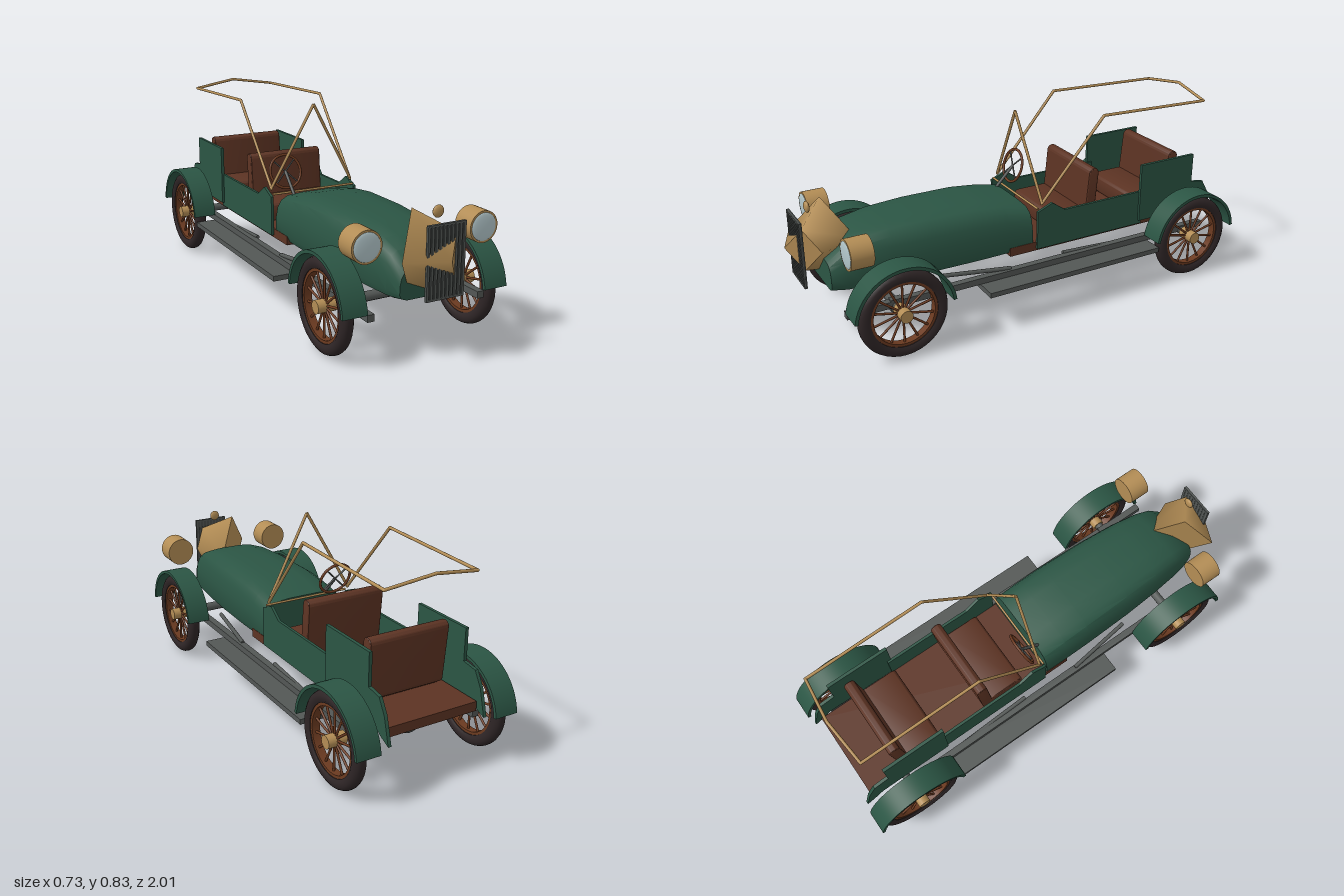
import * as THREE from 'three';
import { toCreasedNormals } from 'three/addons/utils/BufferGeometryUtils.js';

const mat = (name, color, side = THREE.FrontSide) => {
  const m = new THREE.MeshStandardMaterial({ color, side });
  m.name = name;
  return m;
};

export function createModel() {
  const car = new THREE.Group();
  car.name = 'vintageTourer';
  const green = mat('green paint', 0x2b5544);
  const leather = mat('brown leather', 0x5c3323);
  const wood = mat('spoke wood', 0x6b3a20);
  const brass = mat('brass', 0xb38d55);
  const steel = mat('grey steel', 0x535755);
  const dark = mat('dark grille', 0x3c403e);
  const rubber = mat('tyre rubber', 0x2e2526);
  const glass = mat('lamp glass', 0xb3c7cb);

  const add = (name, geo, material, x = 0, y = 0, z = 0, parent = car) => {
    const m = new THREE.Mesh(geo, material);
    m.name = name;
    m.position.set(x, y, z);
    parent.add(m);
    return m;
  };
  const box = (name, w, h, d, material, x, y, z, parent) =>
    add(name, new THREE.BoxGeometry(w, h, d), material, x, y, z, parent);
  const V = (p) => new THREE.Vector3(...p);
  // straight rod between two points
  const rod = (name, a, b, r, material, parent = car) => {
    const A = V(a), B = V(b), d = B.clone().sub(A);
    const m = add(name, new THREE.CylinderGeometry(r, r, d.length(), 10), material, 0, 0, 0, parent);
    m.position.copy(A).add(B).multiplyScalar(0.5);
    m.quaternion.setFromUnitVectors(new THREE.Vector3(0, 1, 0), d.normalize());
    return m;
  };
  // plate drawn in (z, y) and extruded across x
  const sidePlate = (shape, depth, bevel = 0) => {
    const g = new THREE.ExtrudeGeometry(shape, {
      depth, curveSegments: 28, bevelEnabled: bevel > 0,
      bevelSize: bevel, bevelThickness: bevel, bevelSegments: 3,
    });
    g.translate(0, 0, -depth / 2);
    g.rotateY(-Math.PI / 2);
    return toCreasedNormals(g, 0.5);
  };
  const polygon = (pts) => new THREE.Shape(pts.map((p) => new THREE.Vector2(...p)));

  // Bonnet: lofted sections [z, half width, bottom, top]
  const half = [[0.76, 0], [0.93, 0.07], [1, 0.2], [0.99, 0.5], [0.95, 0.72], [0.86, 0.88], [0.7, 0.97], [0.35, 1]];
  const ring = [...half, ...half.slice().reverse().map(([x, y]) => [-x, y])];
  const sections = [
    [-0.012, 0.2, 0.245, 0.44], [0.1, 0.201, 0.243, 0.462], [0.22, 0.2, 0.24, 0.476], [0.45, 0.192, 0.238, 0.48],
    [0.62, 0.18, 0.238, 0.474], [0.74, 0.166, 0.238, 0.455], [0.81, 0.153, 0.238, 0.425], [0.87, 0.132, 0.245, 0.365],
  ];
  const pos = [], idx = [], n = ring.length;
  sections.forEach(([z, w, lo, hi]) => ring.forEach(([x, y]) => pos.push(x * w, lo + y * (hi - lo), z)));
  for (let i = 0; i < sections.length - 1; i++)
    for (let j = 0; j < n; j++) {
      const a = i * n + j, b = i * n + ((j + 1) % n);
      idx.push(a, b, b + n, a, b + n, a + n);
    }
  const last = (sections.length - 1) * n;
  for (let j = 1; j < n - 1; j++) {
    idx.push(0, j + 1, j);
    idx.push(last, last + j, last + j + 1);
  }
  const loft = new THREE.BufferGeometry();
  loft.setAttribute('position', new THREE.Float32BufferAttribute(pos, 3));
  loft.setIndex(idx);
  add('bonnet', toCreasedNormals(loft, 0.55), green);

  // Floor
  box('floor', 0.404, 0.04, 1.05, leather, 0, 0.266, -0.425);

  // Body sides and rear quarter panels
  const tubSide = polygon([[-0.028, 0.256], [-0.028, 0.43], [-0.1, 0.46], [-0.165, 0.415], [-0.58, 0.415], [-0.58, 0.256]]);
  const quarter = polygon([[-0.56, 0.275], [-0.56, 0.546], [-0.852, 0.546], [-0.852, 0.41], [-0.92, 0.4],
    [-0.955, 0.34], [-0.985, 0.23], [-0.94, 0.25], [-0.9, 0.275]]);
  // Mudguard arch
  const arch = new THREE.Shape();
  arch.absarc(0, 0, 0.217, 0.12, Math.PI - 0.12, false);
  arch.absarc(0, 0, 0.203, Math.PI - 0.12, 0.12, true);
  // Tyre and rim profiles, turned about the axle
  const lathe = (pts) => {
    const g = new THREE.LatheGeometry(pts.map((p) => new THREE.Vector2(...p)), 40);
    g.rotateZ(-Math.PI / 2);
    return toCreasedNormals(g, 0.7);
  };
  const tyreGeo = lathe([[0.143, -0.02], [0.155, -0.027], [0.172, -0.027], [0.185, -0.018], [0.19, -0.007],
    [0.19, 0.007], [0.185, 0.018], [0.172, 0.027], [0.155, 0.027], [0.143, 0.02], [0.143, -0.02]]);
  const rimGeo = lathe([[0.131, -0.017], [0.145, -0.017], [0.145, 0.017], [0.131, 0.017], [0.131, -0.017]]);
  const hubGeo = new THREE.CylinderGeometry(0.027, 0.027, 0.08, 20).rotateZ(Math.PI / 2);

  const AXLE_F = 0.65, AXLE_R = -0.783;
  for (const s of [1, -1]) {
    add('bodySide', sidePlate(tubSide, 0.012), green, s * 0.207);
    add('rearQuarterPanel', sidePlate(quarter, 0.014), green, s * 0.217);

    for (const z of [AXLE_F, AXLE_R]) {
      add('mudguard', sidePlate(arch, 0.104), green, s * 0.313, 0.19, z);
      const wheel = new THREE.Group();
      wheel.name = 'wheel';
      wheel.position.set(s * 0.32, 0.19, z);
      car.add(wheel);
      add('tyre', tyreGeo, rubber, 0, 0, 0, wheel);
      add('rim', rimGeo, wood, 0, 0, 0, wheel);
      add('hub', hubGeo, brass, 0, 0, 0, wheel);
      for (let i = 0; i < 14; i++) {
        const a = (i / 14) * Math.PI * 2, c = Math.cos(a), d = Math.sin(a);
        rod('spoke', [0, c * 0.02, d * 0.02], [0, c * 0.135, d * 0.135], 0.005, wood, wheel);
      }
    }

    // Chassis rails, running boards and spring arms
    box('chassisRail', 0.03, 0.028, 1.76, steel, s * 0.245, 0.2, -0.02);
    box('runningBoard', 0.118, 0.022, 0.86, steel, s * 0.291, 0.176, -0.155);
    box('axleKnuckle', 0.03, 0.052, 0.05, steel, s * 0.245, 0.195, AXLE_F);
    rod('frontSpringArm', [s * 0.205, 0.24, 0.42], [s * 0.24, 0.215, 0.12], 0.009, steel);
    rod('rearSpringArm', [s * 0.245, 0.19, AXLE_R], [s * 0.225, 0.215, -0.15], 0.009, steel);

    // Headlamps
    const lamp = new THREE.Group();
    lamp.name = 'headlamp';
    lamp.position.set(s * 0.257, 0.465, 0.798);
    car.add(lamp);
    add('lampShell', new THREE.CylinderGeometry(0.064, 0.064, 0.094, 32).rotateX(Math.PI / 2), brass, 0, 0, 0, lamp);
    const lens = add('lampLens', new THREE.SphereGeometry(0.056, 28, 8, 0, Math.PI * 2, 0, Math.PI / 2).rotateX(Math.PI / 2),
      glass, 0, 0, 0.047, lamp);
    lens.scale.z = 0.12;

    // Windscreen bars rising to a central peak
    rod('windscreenBar', [s * 0.197, 0.465, -0.055], [0, 0.82, -0.035], 0.0065, brass);
  }

  // Axles, differential and propeller shaft
  rod('frontAxle', [-0.29, 0.192, AXLE_F], [0.29, 0.192, AXLE_F], 0.02, steel);
  rod('rearAxle', [-0.29, 0.19, AXLE_R], [0.29, 0.19, AXLE_R], 0.018, steel);
  add('differential', new THREE.SphereGeometry(0.056, 24, 16), steel, 0, 0.19, AXLE_R);
  rod('propellerShaft', [0, 0.19, AXLE_R], [0, 0.215, 0.02], 0.011, steel);

  // Folding-top frame
  const hoop = [[0.198, 0.46, -0.055], [0.204, 0.808, -0.355], [0.204, 0.79, -0.9], [0, 0.82, -0.92],
    [-0.204, 0.79, -0.9], [-0.204, 0.808, -0.355], [-0.198, 0.46, -0.055]];
  hoop.forEach((p, i) => {
    if (i) rod('topFrameBar', hoop[i - 1], p, 0.0065, brass);
    add('topFrameJoint', new THREE.SphereGeometry(0.0065, 10, 8), brass, ...p);
  });
  rod('windscreenSill', [-0.2, 0.44, -0.035], [0.2, 0.44, -0.035], 0.005, brass);

  // Seats: rounded cushion and back, drawn in (z, y)
  const roundRect = (w, h, r) => {
    const p = new THREE.Shape();
    p.absarc(w / 2 - r, h / 2 - r, r, 0, Math.PI / 2);
    p.absarc(-w / 2 + r, h / 2 - r, r, Math.PI / 2, Math.PI);
    p.absarc(-w / 2 + r, -h / 2 + r, r, Math.PI, Math.PI * 1.5);
    p.absarc(w / 2 - r, -h / 2 + r, r, Math.PI * 1.5, Math.PI * 2);
    return p;
  };
  for (const z of [-0.225, -0.66]) {
    add('seatCushion', sidePlate(roundRect(0.17, 0.075, 0.015), 0.345, 0.007), leather, 0, 0.325, z);
    const back = add('seatBack', sidePlate(roundRect(0.036, 0.25, 0.016), 0.345, 0.007), leather, 0, 0.428, z - 0.1);
    back.rotation.x = -0.09;
  }

  // Steering wheel
  const steering = new THREE.Group();
  steering.name = 'steeringWheel';
  steering.position.set(-0.113, 0.522, -0.088);
  steering.rotation.x = -0.33;
  car.add(steering);
  add('steeringRim', new THREE.TorusGeometry(0.074, 0.006, 10, 36), wood, 0, 0, 0, steering);
  for (let i = 0; i < 4; i++) {
    const a = (i * Math.PI) / 2 + Math.PI / 4;
    rod('steeringSpoke', [0, 0, 0], [Math.cos(a) * 0.072, Math.sin(a) * 0.072, 0], 0.0035, steel, steering);
  }
  rod('steeringColumn', [-0.113, 0.522, -0.088], [-0.113, 0.4, 0.03], 0.007, steel);

  // Four-sided radiator shell, set at an angle on the nose
  const shell = new THREE.CylinderGeometry(0.083, 0.152, 0.165, 4).rotateX(Math.PI / 2).scale(1, 1.07, 1).rotateY(Math.PI / 4);
  add('radiatorShell', shell, brass, -0.006, 0.419, 0.89);

  // Grille panel with upright bars
  box('grillePanel', 0.164, 0.284, 0.006, dark, 0, 0.407, 0.957);
  for (let i = 0; i < 10; i++)
    box('grilleBar', 0.01, 0.284, 0.012, steel, -0.077 + i * 0.0171, 0.407, 0.959);
  for (const y of [0.269, 0.545]) box('grilleRail', 0.164, 0.008, 0.012, steel, 0, y, 0.959);

  // Radiator cap
  const cap = add('radiatorCap', new THREE.SphereGeometry(0.024, 20, 14), brass, 0, 0.578, 0.905);
  cap.scale.z = 0.45;

  return car;
}
